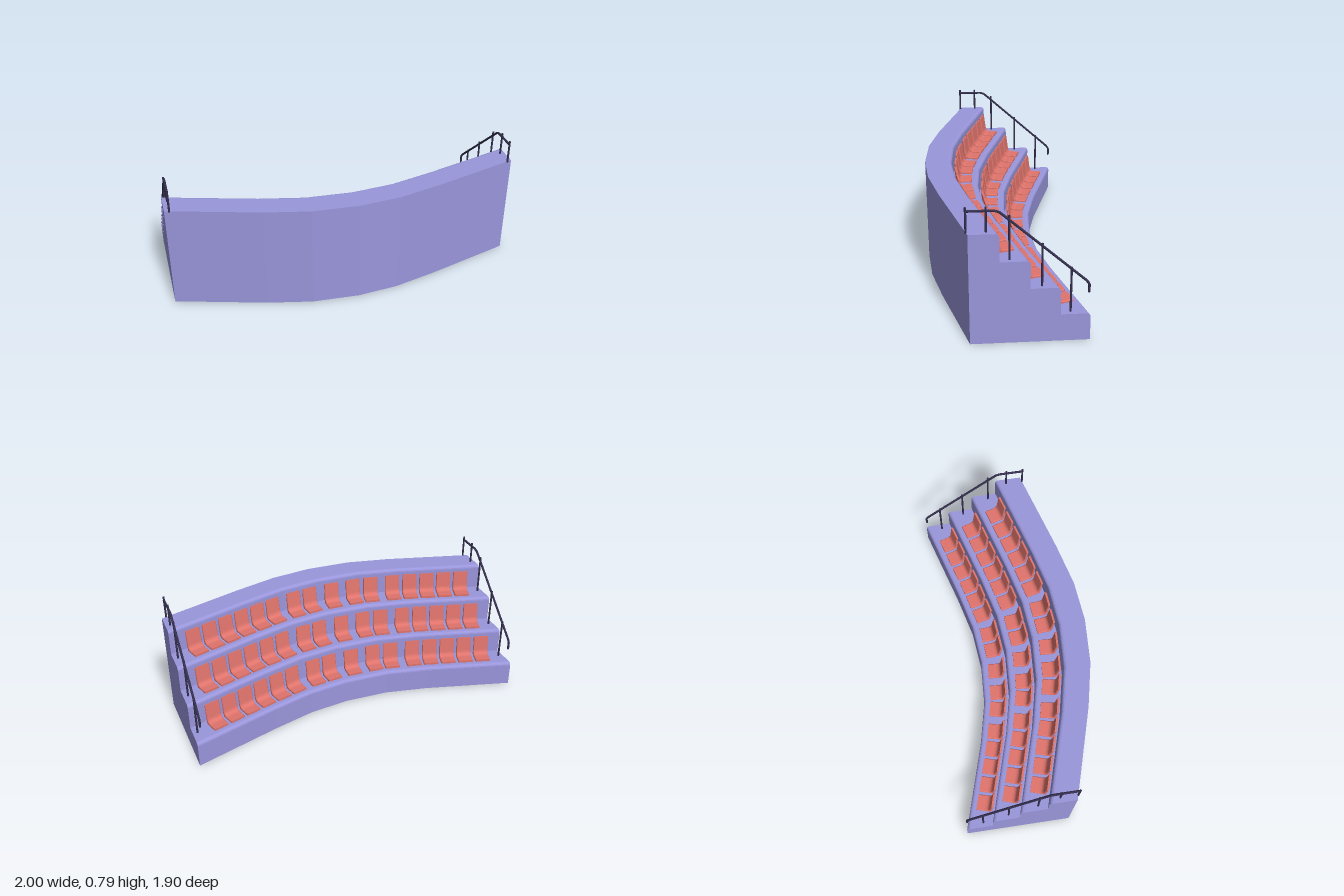
import * as THREE from 'three';

const STEPS = 4, RISE = 0.1625, HEIGHT = STEPS * RISE;
// Plan of the inner wall; the outer wall is the same line shifted by DEPTH
const PATH = [[-1, 0.475], [-0.5, 0.235], [-0.262, 0.1], [-0.045, -0.075], [0.123, -0.26], [0.275, -0.487], [0.56, -0.95]]
  .map(([x, z]) => new THREE.Vector3(x, 0, z));
const DEPTH = new THREE.Vector3(0.438, 0, 0.475);

// Point on the stand: base point, fraction across the depth, height
const place = (p, t, y) => p.clone().addScaledVector(DEPTH, t).setY(y);

// Point at a given distance along the inner wall
function along(u) {
  for (let i = 0; i < PATH.length - 1; i++) {
    const len = PATH[i].distanceTo(PATH[i + 1]);
    if (u <= len || i === PATH.length - 2) return PATH[i].clone().lerp(PATH[i + 1], u / len);
    u -= len;
  }
}
const LENGTH = PATH.slice(1).reduce((sum, p, i) => sum + p.distanceTo(PATH[i]), 0);

// Stepped cross-section with rounded nosings, as (depth fraction, height)
function stepProfile() {
  const pts = [[0, 0]], rt = 0.032, ry = 0.02;
  for (let s = 0; s < STEPS; s++) {
    const t = s / STEPS, y = (s + 1) * RISE;
    if (s) pts.push([t, s * RISE]);
    for (let k = 0; k <= 4; k++) {
      const a = (k / 4) * Math.PI / 2;
      pts.push([t + rt * (1 - Math.cos(a)), y - ry * (1 - Math.sin(a))]);
    }
  }
  pts.push([1, HEIGHT], [1, 0]);
  return pts;
}

// Walls and treads, open underneath
function sweepGeometry(profile) {
  const pos = [];
  for (let i = 0; i < PATH.length - 1; i++) {
    for (let j = 0; j < profile.length - 1; j++) {
      const a = place(PATH[i], ...profile[j]), b = place(PATH[i], ...profile[j + 1]);
      const c = place(PATH[i + 1], ...profile[j + 1]), d = place(PATH[i + 1], ...profile[j]);
      for (const v of [a, b, c, a, c, d]) pos.push(v.x, v.y, v.z);
    }
  }
  const g = new THREE.BufferGeometry();
  g.setAttribute('position', new THREE.Float32BufferAttribute(pos, 3));
  g.computeVertexNormals();
  return g;
}

// Flat stepped end wall
function endGeometry(profile, base, flip) {
  const g = new THREE.ShapeGeometry(new THREE.Shape(profile.map(([t, y]) => new THREE.Vector2(t, y))));
  const p = g.attributes.position;
  for (let i = 0; i < p.count; i++) {
    const v = place(base, p.getX(i), p.getY(i));
    p.setXYZ(i, v.x, v.y, v.z);
  }
  // ShapeGeometry winds its faces to face the right-hand end
  const idx = g.index.array;
  if (flip) for (let i = 0; i < idx.length; i += 3) [idx[i], idx[i + 1]] = [idx[i + 1], idx[i]];
  g.computeVertexNormals();
  return g;
}

// Moulded shell seat: pan curving up into the backrest (+z is the back)
function seatGeometry() {
  const s = new THREE.Shape();
  s.moveTo(-0.05, -0.01);
  s.lineTo(0.015, -0.01);
  s.quadraticCurveTo(0.045, -0.01, 0.046, 0.03);
  s.lineTo(0.055, 0.13);
  s.lineTo(0.043, 0.132);
  s.lineTo(0.031, 0.042);
  s.quadraticCurveTo(0.027, 0.012, 0, 0.012);
  s.lineTo(-0.05, 0.014);
  const width = 0.088, bevel = 0.004;
  const g = new THREE.ExtrudeGeometry(s, {
    depth: width, curveSegments: 5, bevelEnabled: true, bevelSize: bevel, bevelThickness: bevel, bevelOffset: -bevel, bevelSegments: 1,
  });
  g.translate(0, 0, -width / 2);
  return g.rotateY(-Math.PI / 2);
}

export function createModel() {
  const model = new THREE.Group();
  model.name = 'grandstand';
  const baseMat = new THREE.MeshStandardMaterial({ color: 0x9a96dc, side: THREE.DoubleSide });
  const seatMat = new THREE.MeshStandardMaterial({ color: 0xe0746c });
  const railMat = new THREE.MeshStandardMaterial({ color: 0x35304f });
  const add = (parent, name, geometry, material) => {
    const mesh = new THREE.Mesh(geometry, material);
    mesh.name = name;
    parent.add(mesh);
    return mesh;
  };

  // Stepped stand
  const profile = stepProfile();
  add(model, 'steps', sweepGeometry(profile), baseMat);
  add(model, 'rightEndWall', endGeometry(profile, PATH[0], false), baseMat);
  add(model, 'leftEndWall', endGeometry(profile, PATH[PATH.length - 1], true), baseMat);

  // Seats: blocks with wider gaps where the stand bends
  const stations = [];
  let u = 0.15;
  for (const count of [5, 2, 1, 2, 6]) {
    for (let i = 0; i < count; i++) stations.push(u + i * 0.115);
    u += (count - 1) * 0.115 + 0.148;
  }
  const seatGeo = seatGeometry();
  for (let row = 0; row < STEPS - 1; row++) {
    const seatRow = new THREE.Group();
    seatRow.name = 'seatRow' + (row + 1);
    for (const d of stations) {
      const dir = along(d + 0.06).sub(along(d - 0.06));
      const seat = add(seatRow, 'seat', seatGeo, seatMat);
      seat.position.copy(place(along(d), (row + 0.57) / STEPS, (row + 1) * RISE));
      seat.rotation.y = Math.atan2(-dir.z, dir.x);
    }
    model.add(seatRow);
  }

  // Handrails with posts, one at each end
  const railLine = [[0, 0.28], [0, 0.325], [0.02, 0.345], [0.7, 0.74], [0.74, 0.762], [0.78, 0.768], [1, 0.768]];
  const posts = [[0.15, 0.16, 0.43], [0.39, 0.32, 0.575], [0.655, 0.485, 0.74], [0.84, 0.645, 0.79], [1, 0.645, 0.79]];
  for (const [side, d] of [['right', 0.03], ['left', LENGTH - 0.03]]) {
    const base = along(d);
    const rail = new THREE.Group();
    rail.name = side + 'Handrail';
    const curve = new THREE.CurvePath();
    const pts = railLine.map(([t, y]) => place(base, t, y));
    for (let i = 1; i < pts.length; i++) curve.add(new THREE.LineCurve3(pts[i - 1], pts[i]));
    add(rail, 'rail', new THREE.TubeGeometry(curve, 60, 0.007, 8), railMat);
    for (const end of [pts[0], pts[pts.length - 1]])
      add(rail, 'railEnd', new THREE.SphereGeometry(0.007, 8, 6), railMat).position.copy(end);
    for (const [t, y0, y1] of posts) {
      const post = add(rail, 'post', new THREE.CylinderGeometry(0.006, 0.006, y1 - y0, 8), railMat);
      post.position.copy(place(base, t, (y0 + y1) / 2));
    }
    model.add(rail);
  }
  return model;
}
